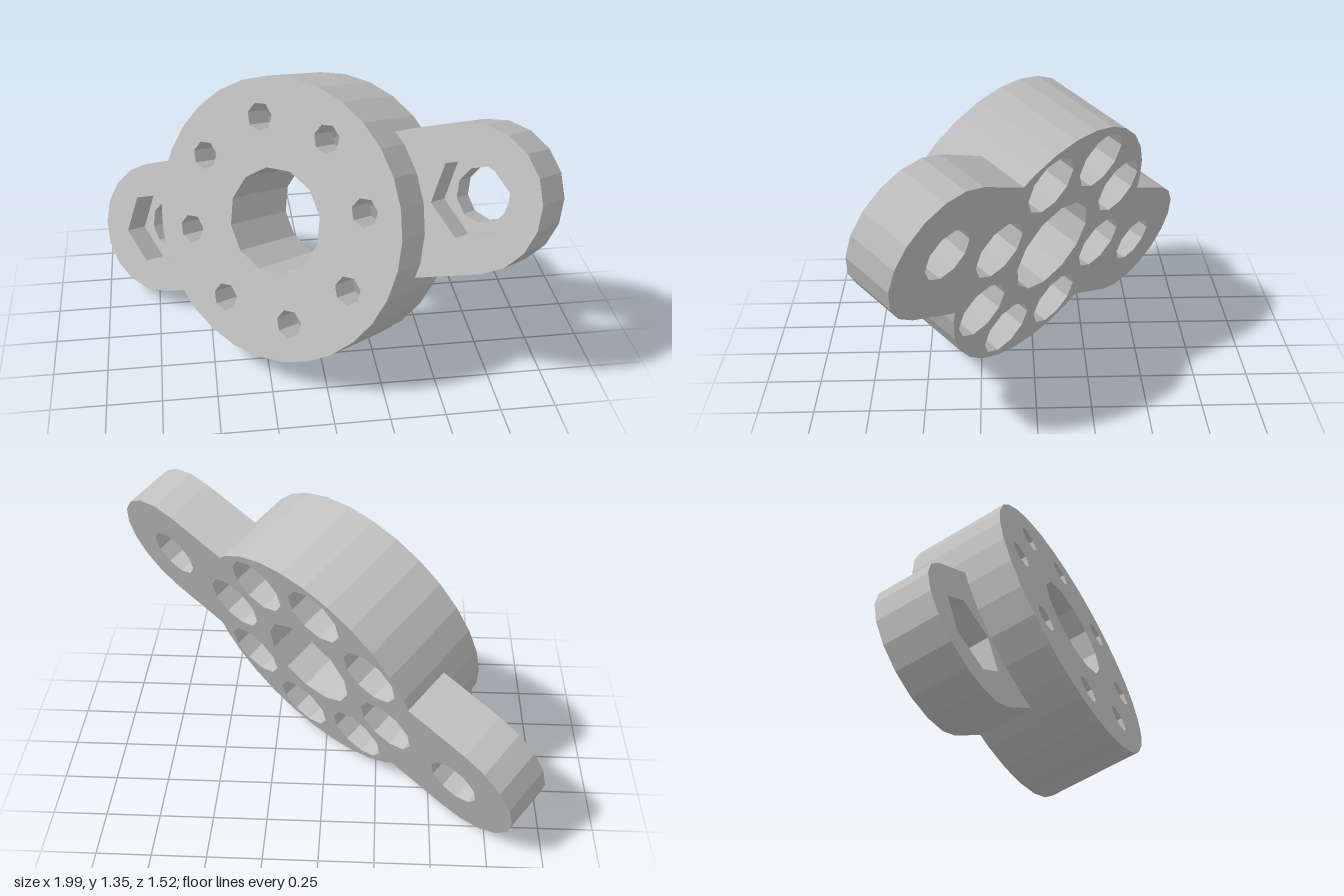
import * as THREE from 'three';

const R = 0.64, T = 0.452;            // disc radius and thickness
const BORE_DEPTH = 0.3;               // counterbore depth from the back
const EAR_R = 0.32, EAR_X = 0.86, EAR_T = 0.245, EAR_FLOOR = 0.115;

// Points of a regular polygon or arc
function arc(r, n, cx = 0, cy = 0, from = 0, to = Math.PI * 2, closed = true) {
  const pts = [];
  for (let i = 0; i < (closed ? n : n + 1); i++) {
    const a = from + (to - from) * i / n;
    pts.push(new THREE.Vector2(cx + r * Math.cos(a), cy + r * Math.sin(a)));
  }
  return pts;
}

// Flat slab with holes between two heights
function slab(outline, holes, z0, z1) {
  const shape = new THREE.Shape(outline);
  shape.holes = holes.map(h => new THREE.Path(h));
  const geo = new THREE.ExtrudeGeometry(shape, { depth: z1 - z0, bevelEnabled: false });
  return geo.translate(0, 0, z0);
}

export function createModel() {
  const group = new THREE.Group();
  group.name = 'mountingHub';
  const grey = new THREE.MeshStandardMaterial({ color: 0xbfbfbf });
  grey.name = 'light grey';

  const add = (name, geo, parent) => {
    const mesh = new THREE.Mesh(geo, grey);
    mesh.name = name;
    parent.add(mesh);
  };

  const part = new THREE.Group();
  part.name = 'tiltedHub';
  group.add(part);

  // Round hub: counterbored back layer, small bolt holes in the front layer
  const ring = (r, n) => Array.from({ length: 8 }, (_, i) => {
    const a = i * Math.PI / 4;
    return arc(r, n, 0.465 * Math.cos(a), 0.465 * Math.sin(a));
  });
  const centre = arc(0.24, 12);
  add('hubBack', slab(arc(R, 30), [centre, ...ring(0.145, 10)], 0, BORE_DEPTH), part);
  add('hubFront', slab(arc(R, 30), [centre, ...ring(0.065, 7)], BORE_DEPTH, T), part);

  // Two opposite ears with a through hole and a hexagonal nut pocket
  const join = Math.asin(EAR_R / (R - 0.01));
  const outline = [
    ...arc(EAR_R, 9, EAR_X, 0, -Math.PI / 2, Math.PI / 2, false),
    ...arc(R - 0.01, 10, 0, 0, join, -join, false),
  ];
  for (const [name, turn] of [['leftEar', 0], ['rightEar', Math.PI]]) {
    const ear = new THREE.Group();
    ear.name = name;
    ear.rotation.z = turn;
    add(name + 'Back', slab(outline, [arc(0.125, 10, EAR_X)], 0, EAR_FLOOR), ear);
    add(name + 'Front', slab(outline, [arc(0.185, 6, EAR_X)], EAR_FLOOR, EAR_T), ear);
    part.add(ear);
  }

  // Tilt: local z is the hub axis, local x runs along the ears
  const n = new THREE.Vector3(-0.625, 0.322, 0.713).normalize();
  const d = new THREE.Vector3(0.777, 0.349, 0.524);
  d.addScaledVector(n, -d.dot(n)).normalize();
  const e = new THREE.Vector3().crossVectors(n, d);
  part.quaternion.setFromRotationMatrix(new THREE.Matrix4().makeBasis(d, e, n));
  part.position.set(0.077, 0.61, -0.0875);
  return group;
}
